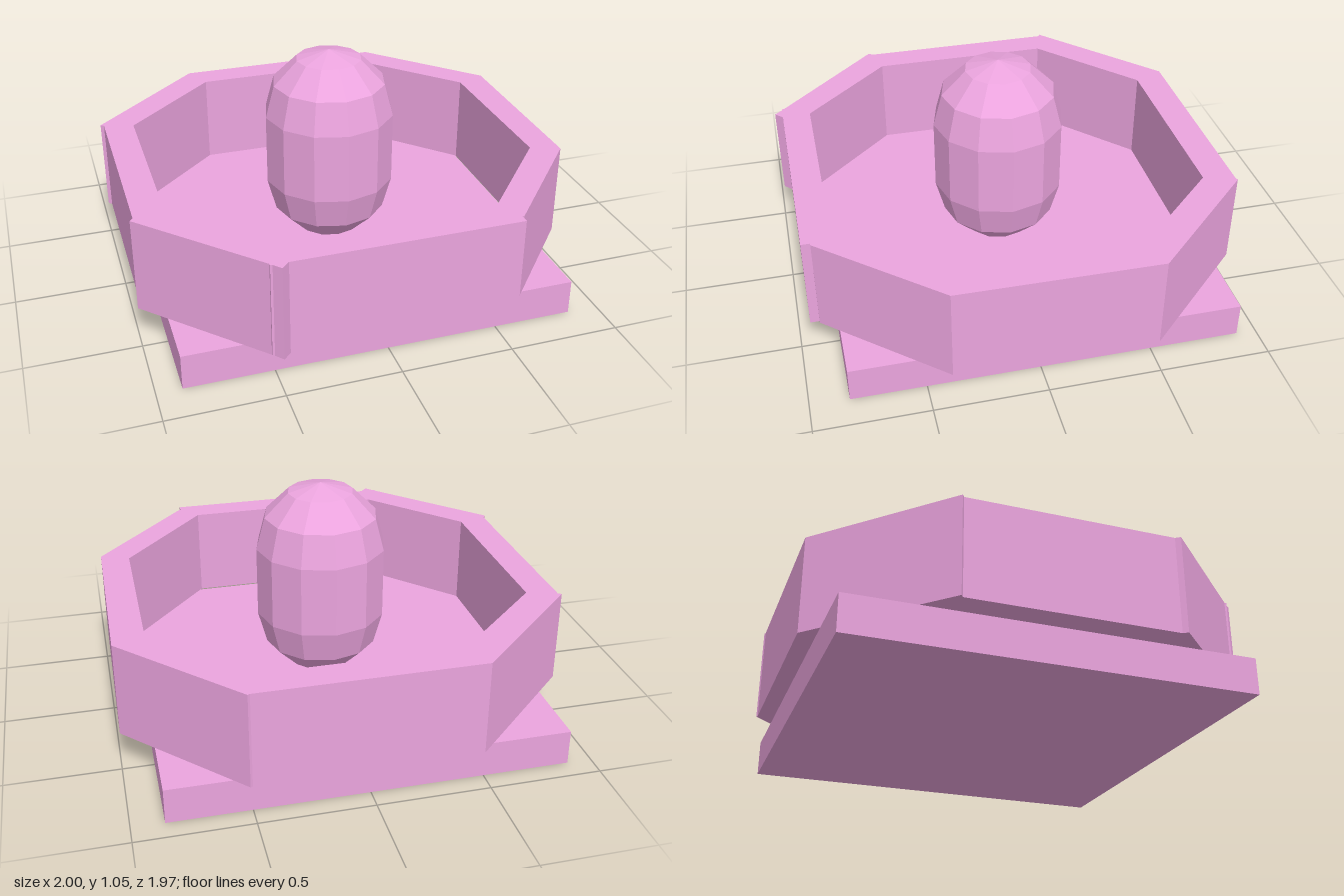
import * as THREE from 'three';

const material = new THREE.MeshStandardMaterial({ color: 0xeba4de, flatShading: true });

function addPart(group, name, geometry, x, y, z) {
  const mesh = new THREE.Mesh(geometry, material);
  mesh.name = name;
  mesh.position.set(x, y, z);
  group.add(mesh);
}

// Plan points are [x, z]; z is flipped because the extrusion is laid flat afterwards.
const plan = (points) => points.map(([x, z]) => new THREE.Vector2(x, -z));

export function createModel() {
  const group = new THREE.Group();
  group.name = 'basin';

  // Square slab under everything
  addPart(group, 'base', new THREE.BoxGeometry(1.75, 0.16, 1.74), -0.015, 0.08, -0.04);

  // Eight-sided wall with slightly mismatched corners, open at top and bottom
  // (outline runs anticlockwise, hole clockwise, so every face points outward)
  const outline = new THREE.Shape(plan([
    [-1, -0.48], [-0.985, -0.47], [-0.985, 0.44], [-1, 0.46],
    [-0.54, 0.94], [-0.54, 0.95], [-0.53, 0.95], [-0.5, 0.985], [-0.465, 0.95],
    [0.54, 0.95], [0.54, 0.91], [0.55, 0.91], [0.985, 0.41],
    [0.995, -0.48], [0.52, -0.985], [0.51, -0.98], [-0.47, -0.98],
  ]));
  outline.holes.push(new THREE.Path(plan([
    [-0.41, -0.84], [0.47, -0.84], [0.855, -0.43], [0.855, 0.36],
    [0.46, 0.82], [-0.47, 0.82], [-0.85, 0.41], [-0.85, -0.43],
  ])));
  const wall = new THREE.ExtrudeGeometry(outline, { depth: 0.43, bevelEnabled: false });
  wall.rotateX(-Math.PI / 2);
  addPart(group, 'wall', wall, 0, 0.17, 0);

  // Faceted capsule standing in the middle, its lower tip sunk into the base
  const post = new THREE.CapsuleGeometry(0.3, 0.325, 3, 12, 1);
  addPart(group, 'centrePost', post, 0, 0.5875, -0.01);

  return group;
}
